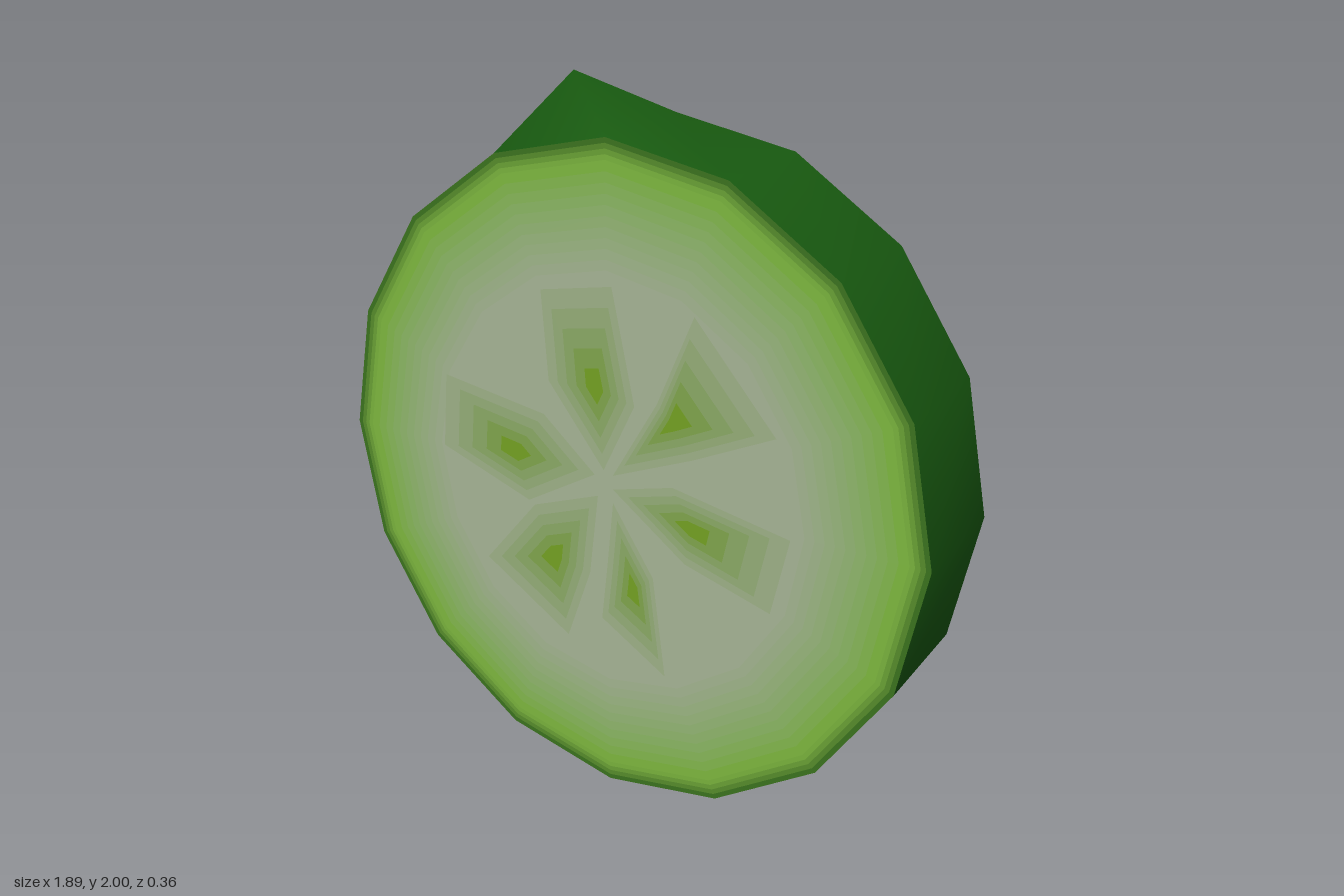
import * as THREE from 'three';

const SIDES = 16;
// The two cut faces: centre, radius, depth and facing direction
const FRONT = { x: 0.013, y: 0.935, r: 0.93, z: 0.177, dir: 1 };
const BACK = { x: -0.005, y: 0.945, r: 0.94, z: -0.177, dir: -1 };

const SKIN = new THREE.Color(0x185a10);
const GREEN = new THREE.Color(0x7cb63e);
const PALE = new THREE.Color(0xa5b394);
const SEED = new THREE.Color(0x73a022);

const mix = (a, b, t) => a.clone().lerp(b, t);
const material = (color) => new THREE.MeshStandardMaterial({ color });

function rimPoint(face, i, scale = 1) {
  const a = (i / SIDES) * Math.PI * 2;
  return [face.x + Math.cos(a) * face.r * scale, face.y + Math.sin(a) * face.r * scale, face.z];
}

function mesh(name, positions, index, color) {
  const g = new THREE.BufferGeometry();
  g.setAttribute('position', new THREE.Float32BufferAttribute(positions, 3));
  g.setIndex(index);
  g.computeVertexNormals();
  const m = new THREE.Mesh(g, material(color));
  m.name = name;
  return m;
}

// Smooth outer wall, with one panel pulled up into the stem stub
function makeSkin() {
  const pos = [], index = [];
  for (let i = 0; i < SIDES; i++) pos.push(...rimPoint(FRONT, i), ...rimPoint(BACK, i));
  const tip = pos.length / 3;
  pos.push(-0.2, 2, 0.015);
  for (let i = 0; i < SIDES; i++) {
    const f = 2 * i, b = f + 1, f2 = (2 * i + 2) % (2 * SIDES), b2 = f2 + 1;
    if (i === SIDES / 4) index.push(f, b, tip, b, b2, tip, b2, f2, tip, f2, f, tip);
    else index.push(f, b, b2, f, b2, f2);
  }
  return mesh('skin', pos, index, SKIN);
}

// Flat band of a cut face between two relative radii
function makeRing(face, outer, inner, color, name) {
  const pos = [], index = [];
  for (let i = 0; i < SIDES; i++) pos.push(...rimPoint(face, i, outer), ...rimPoint(face, i, inner));
  for (let i = 0; i < SIDES; i++) {
    const o = 2 * i, n = o + 1, o2 = (2 * i + 2) % (2 * SIDES), n2 = o2 + 1;
    if (face.dir > 0) index.push(o, o2, n2, o, n2, n);
    else index.push(o, n2, o2, o, n, n2);
  }
  return mesh(name, pos, index, color);
}

// Seed pockets: darkest point, then outline
const POCKETS = [
  { heart: [-0.02, 1.21], outline: [[0, 0.98], [0.1, 1.18], [0.03, 1.49], [-0.2, 1.45], [-0.18, 1.2]] },
  { heart: [0.22, 1.16], outline: [[0.03, 0.97], [0.28, 1.07], [0.52, 1.18], [0.28, 1.45], [0.17, 1.2]] },
  { heart: [0.28, 0.88], outline: [[0.03, 0.93], [0.26, 0.77], [0.52, 0.7], [0.57, 0.92], [0.22, 0.98]] },
  { heart: [0.1, 0.65], outline: [[0.03, 0.89], [0.01, 0.7], [-0.01, 0.53], [0.2, 0.41], [0.16, 0.7]] },
  { heart: [-0.17, 0.68], outline: [[-0.02, 0.9], [-0.24, 0.82], [-0.42, 0.61], [-0.13, 0.44], [-0.05, 0.66]] },
  { heart: [-0.3, 0.97], outline: [[-0.03, 0.96], [-0.2, 1.1], [-0.55, 1.15], [-0.57, 0.93], [-0.26, 0.83]] },
];

// Nested patches that deepen in colour towards the heart of the pocket
function makePocket({ heart, outline }, face) {
  const group = new THREE.Group();
  group.name = 'seedPocket';
  const layers = 5;
  for (let k = 0; k < layers; k++) {
    const s = 1 - k / layers;
    const shape = new THREE.Shape(outline.map(([x, y]) => new THREE.Vector2(
      heart[0] + (x - heart[0]) * s, heart[1] + (y - heart[1]) * s)));
    const g = new THREE.ShapeGeometry(shape);
    if (face.dir < 0) { // turn the patch to face backwards without mirroring it
      const idx = g.index.array;
      for (let i = 0; i < idx.length; i += 3) [idx[i], idx[i + 1]] = [idx[i + 1], idx[i]];
      g.computeVertexNormals();
    }
    const m = new THREE.Mesh(g, material(mix(PALE, SEED, (k + 1) / layers)));
    m.name = 'seedPocketLayer';
    m.position.z = face.z + face.dir * 0.001 * (k + 1);
    group.add(m);
  }
  return group;
}

function makeCutFace(face, name) {
  const group = new THREE.Group();
  group.name = name;
  // Dark rind edge blending into green flesh
  const rim = 4, flesh = 10;
  for (let i = 0; i < rim; i++) {
    group.add(makeRing(face, 1 - 0.06 * i / rim, 1 - 0.06 * (i + 1) / rim,
      mix(SKIN, GREEN, (i + 0.7) / rim), 'rindRing'));
  }
  // Green flesh fading to the pale core
  for (let i = 0; i < flesh; i++) {
    group.add(makeRing(face, 0.94 - 0.3 * i / flesh, 0.94 - 0.3 * (i + 1) / flesh,
      mix(GREEN, PALE, i / flesh), 'fleshRing'));
  }
  group.add(makeRing(face, 0.64, 0, PALE, 'core'));
  for (const p of POCKETS) group.add(makePocket(p, face));
  return group;
}

export function createModel() {
  const model = new THREE.Group();
  model.name = 'cucumberSlice';
  model.add(makeSkin(), makeCutFace(FRONT, 'frontFace'), makeCutFace(BACK, 'backFace'));
  return model;
}
